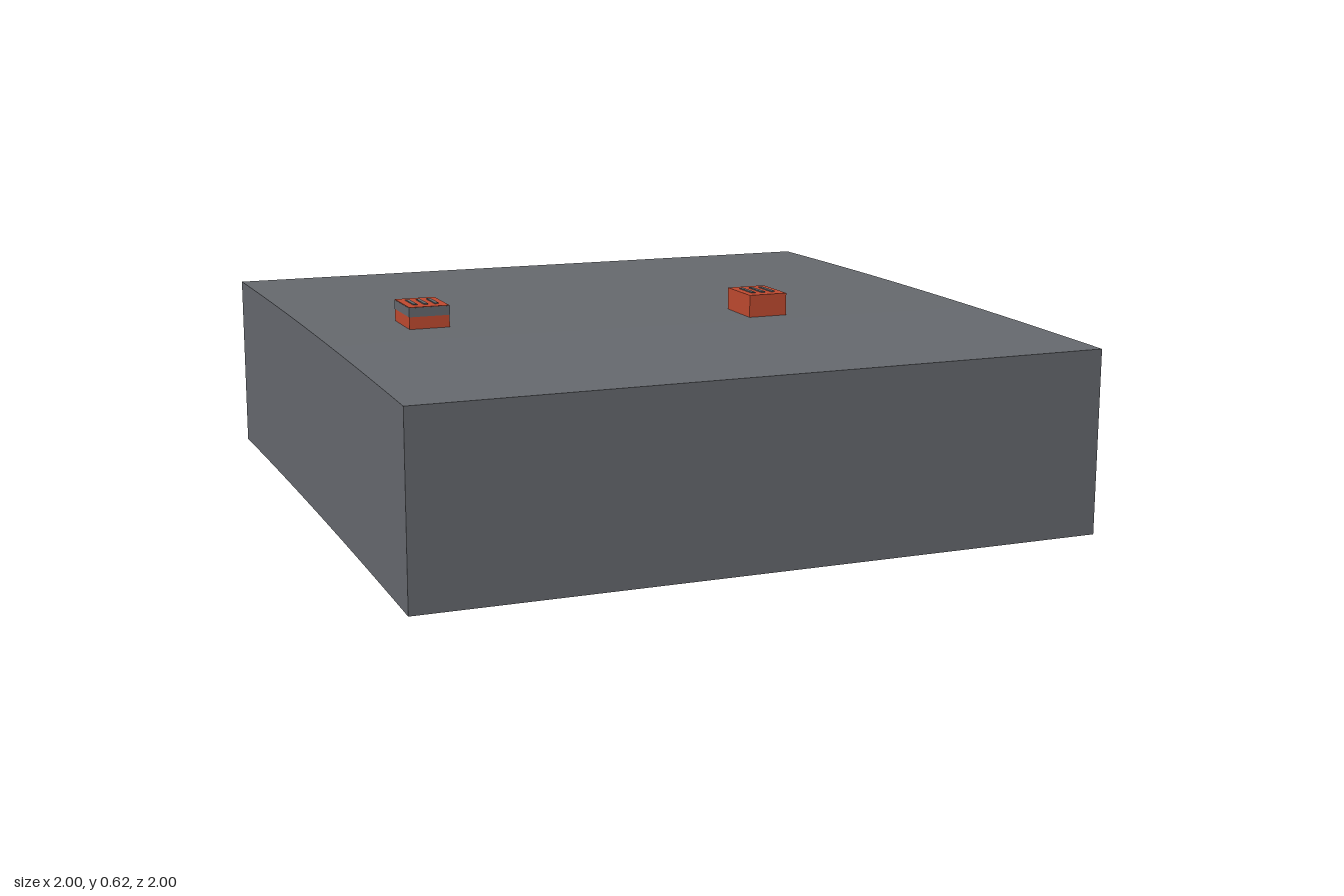
import * as THREE from 'three';

const grey = new THREE.MeshStandardMaterial({ color: 0x66696e, side: THREE.DoubleSide });
grey.name = 'slate grey';
const red = new THREE.MeshStandardMaterial({ color: 0xc04a30 });
red.name = 'brick red';

// Gentle swell of the ground, highest near the middle
const swell = (x, z) => 0.014 - 0.005 * z - 0.009 * z * z - 0.001 * x * (1 - z);

// Open-bottomed block whose top and lower rim both follow the swell
function makeBlock() {
  const g = new THREE.BoxGeometry(2, 0.534, 2, 12, 1, 12);
  const bottom = g.groups[3];
  const index = Array.from(g.index.array);
  index.splice(bottom.start, bottom.count);
  g.setIndex(index);
  g.clearGroups();
  const p = g.attributes.position;
  for (let i = 0; i < p.count; i++) {
    p.setY(i, p.getY(i) + 0.267 + swell(p.getX(i), p.getZ(i)));
  }
  g.computeVertexNormals();
  const mesh = new THREE.Mesh(g, grey);
  mesh.name = 'groundBlock';
  return mesh;
}

function box(name, w, h, d, x, y, z, material) {
  const mesh = new THREE.Mesh(new THREE.BoxGeometry(w, h, d), material);
  mesh.position.set(x, y, z);
  mesh.name = name;
  return mesh;
}

// Red housing with three raised grey slats on its top
function makeVent(name, x, z, banded) {
  const vent = new THREE.Group();
  vent.name = name;
  const base = 0.534 + swell(x, z);
  const h = 0.613 - base;
  vent.position.set(x, base, z);
  vent.add(box('housing', 0.12, h, 0.158, 0, h / 2, 0, red));
  for (const sx of [-0.032, 0, 0.032]) {
    vent.add(box('slat', 0.012, 0.006, 0.088, sx, h, 0, grey));
  }
  // Grey upper band on the sides
  if (banded) {
    for (const s of [-1, 1]) {
      vent.add(box('endBand', 0.12, 0.027, 0.002, 0, h - 0.015, s * 0.079, grey));
      vent.add(box('sideBand', 0.002, 0.027, 0.158, s * 0.06, h - 0.015, 0, grey));
    }
  }
  return vent;
}

export function createModel() {
  const model = new THREE.Group();
  model.name = 'groundWithVents';
  model.add(makeBlock());
  model.add(makeVent('rightVent', -0.667, 0, true));
  model.add(makeVent('leftVent', 0.333, 0.165, false));
  return model;
}
